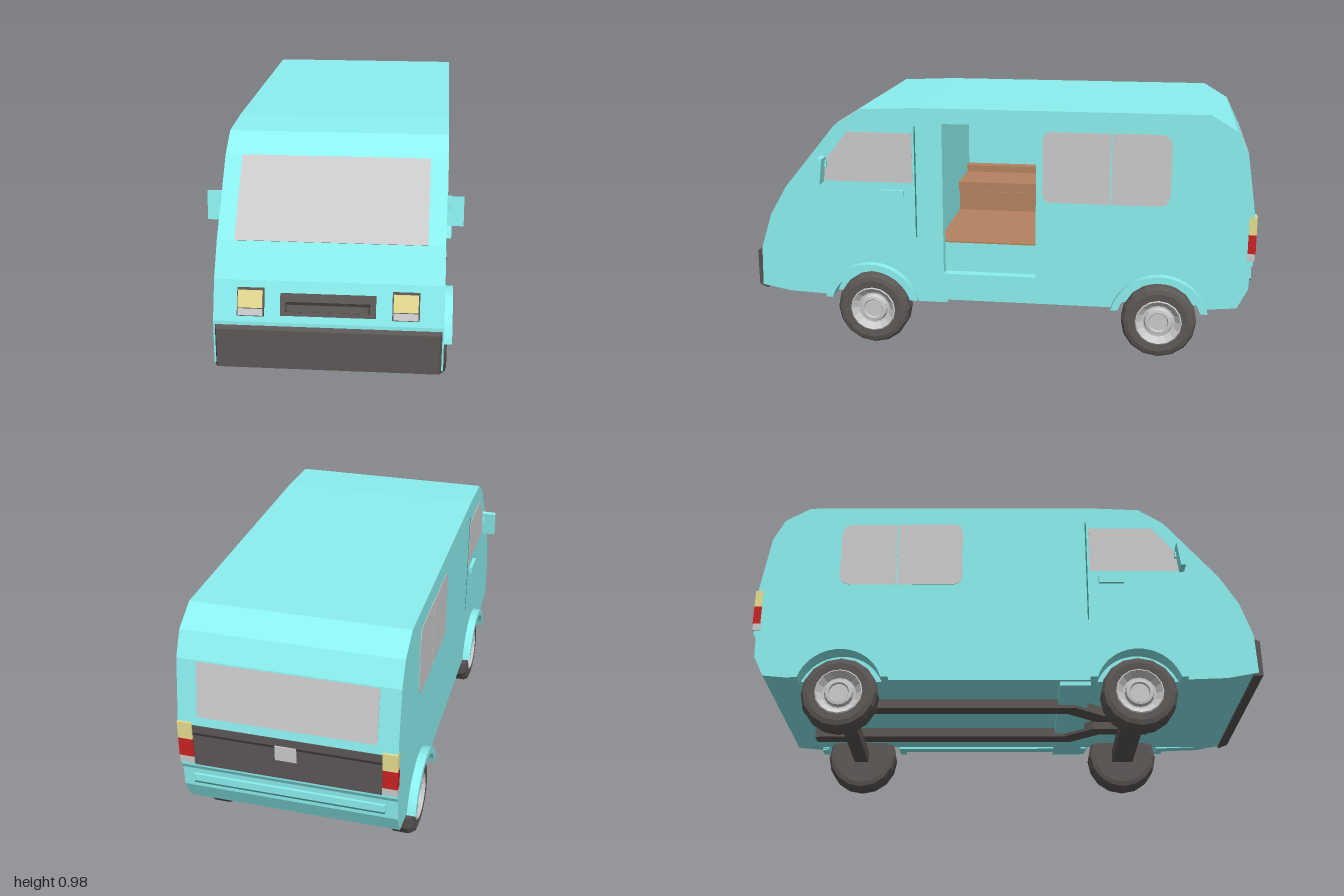
import * as THREE from 'three';

const mat = (color) => new THREE.MeshStandardMaterial({ color, flatShading: true });
const paint = mat(0x8cf0f0), dark = mat(0x5c5856), grey = mat(0xcccccc), seamMat = mat(0x3f7f7f);
const wood = mat(0xb5835f), yellow = mat(0xe8de90), red = mat(0xcc2222), black = mat(0x383634);

const WHEEL_Z = [0.515, -0.64], WHEEL_R = 0.148, HALF = 0.405, WALL = 0.04;

// body outline as [z, y], from the rear bottom over the roof to the nose
const upper = [[-0.83, 0.21], [-0.94, 0.22], [-0.98, 0.3], [-0.982, 0.38], [-0.993, 0.4], [-0.993, 0.58], [-0.955, 0.83],
  [-0.91, 0.92], [-0.81, 0.98], [0.33, 0.98], [0.55, 0.97], [0.65, 0.905], [0.86, 0.65], [0.93, 0.53], [0.975, 0.39], [0.98, 0.23], [0.86, 0.207]];

export function createModel() {
  const van = new THREE.Group();
  van.name = 'van';

  const add = (name, geo, material, x = 0, y = 0, z = 0) => {
    const m = new THREE.Mesh(geo, material);
    m.name = name;
    m.position.set(x, y, z);
    van.add(m);
    return m;
  };
  const box = (name, material, w, h, d, x, y, z) => add(name, new THREE.BoxGeometry(w, h, d), material, x, y, z);
  // slab lying along the line a-b of the side profile, points as [z, y]
  const slab = (name, material, a, b, w, t, x = 0) => {
    const dz = b[0] - a[0], dy = b[1] - a[1];
    const m = box(name, material, w, Math.hypot(dz, dy), t, x, (a[1] + b[1]) / 2, (a[0] + b[0]) / 2);
    m.rotation.x = Math.atan2(dz, dy);
    return m;
  };
  // side-profile shape extruded across x, outer face at xMax
  const across = (name, material, shape, depth, xMax) => {
    const geo = new THREE.ExtrudeGeometry(shape, { depth, bevelEnabled: false, curveSegments: 10 });
    geo.rotateY(-Math.PI / 2);
    return add(name, geo, material, xMax);
  };
  const poly = (pts) => new THREE.Shape(pts.map(([z, y]) => new THREE.Vector2(z, y)));
  const rect = (z0, z1, y0, y1) => poly([[z0, y0], [z1, y0], [z1, y1], [z0, y1]]);
  const roundRect = (z0, z1, y0, y1, rBack, rFront) => {
    const s = new THREE.Shape();
    s.moveTo(z0 + rBack, y0);
    s.lineTo(z1 - rFront, y0);
    s.quadraticCurveTo(z1, y0, z1, y0 + rFront);
    s.lineTo(z1, y1 - rFront);
    s.quadraticCurveTo(z1, y1, z1 - rFront, y1);
    s.lineTo(z0 + rBack, y1);
    s.quadraticCurveTo(z0, y1, z0, y1 - rBack);
    s.lineTo(z0, y0 + rBack);
    s.quadraticCurveTo(z0, y0, z0 + rBack, y0);
    return s;
  };

  // side walls with wheel arches; the left one has the door opening
  const wallShape = () => {
    const s = new THREE.Shape();
    const r = 0.168, a = Math.asin((0.2 - 0.15) / r);
    s.moveTo(0.86, 0.207);
    for (const wz of WHEEL_Z) {
      s.lineTo(wz + r * Math.cos(a), 0.2);
      s.absarc(wz, 0.15, r, a, Math.PI - a, false);
    }
    upper.slice(0, -1).forEach(([z, y]) => s.lineTo(z, y));
    return s;
  };
  const leftWall = wallShape();
  leftWall.holes.push(rect(-0.15, 0.22, 0.31, 0.92));
  across('leftWall', paint, leftWall, WALL, HALF);
  across('rightWall', paint, wallShape(), WALL, -HALF + WALL);

  // floor, cab, roof and tail between the walls, hollow in the rear cabin
  const core = poly(upper);
  core.holes.push(poly([[-0.93, 0.43], [0.25, 0.43], [0.25, 0.94], [-0.82, 0.94], [-0.9, 0.88]]));
  across('bodyShell', paint, core, 2 * (HALF - WALL), HALF - WALL);

  // cabin floor and benches
  box('cabinFloor', wood, 0.73, 0.006, 1.18, 0, 0.433, -0.34);
  box('sideBench', wood, 0.24, 0.09, 1.17, -0.24, 0.475, -0.335);
  box('sideBenchTop', wood, 0.26, 0.04, 1.17, -0.235, 0.545, -0.335);
  box('sideBenchBack', wood, 0.05, 0.07, 1.17, -0.335, 0.56, -0.335);
  box('rearBench', wood, 0.3, 0.09, 0.3, 0.02, 0.475, -0.55);
  box('rearBenchBack', wood, 0.3, 0.16, 0.08, 0.02, 0.51, -0.66);

  for (const s of [-1, 1]) {
    const side = s > 0 ? 'left' : 'right';
    const skin = (name, material, shape, t) => across(side + name, material, shape, t + 0.01, s > 0 ? HALF + t : -HALF + 0.01);

    // side windows
    skin('CabWindow', grey, poly([[0.7, 0.68], [0.34, 0.68], [0.34, 0.88], [0.6, 0.88], [0.7, 0.755]]), 0.002);
    skin('RearWindowFront', grey, roundRect(-0.438, -0.175, 0.62, 0.9, 0.002, 0.04), 0.002);
    skin('RearWindowBack', grey, roundRect(-0.67, -0.443, 0.62, 0.9, 0.05, 0.002), 0.002);
    skin('DoorSeam', seamMat, rect(0.326, 0.331, 0.46, 0.91), 0.001);

    // door handle and mirror
    box(side + 'DoorHandle', paint, 0.02, 0.028, 0.1, s * (HALF + 0.004), 0.637, 0.425);
    const mirror = box(side + 'Mirror', paint, 0.06, 0.105, 0.02, s * 0.435, 0.728, 0.705);
    mirror.rotation.x = -0.12;
    box(side + 'MirrorArm', paint, 0.03, 0.025, 0.03, s * 0.405, 0.75, 0.7);

    for (const wz of WHEEL_Z) {
      const end = wz > 0 ? 'Front' : 'Rear';
      // wheel arch flare
      const flare = new THREE.Shape();
      const ro = 0.195, ri = 0.168, ao = Math.asin(0.05 / ro), ai = Math.asin(0.05 / ri);
      flare.absarc(wz, 0.15, ro, ao, Math.PI - ao, false);
      flare.absarc(wz, 0.15, ri, Math.PI - ai, ai, true);
      across(side + end + 'Flare', paint, flare, 0.06, s > 0 ? 0.438 : -0.378);

      // wheel
      const wheel = new THREE.Group();
      wheel.name = side + end + 'Wheel';
      const turned = (name, pts, material) => {
        const geo = new THREE.LatheGeometry(pts.map(([r, y]) => new THREE.Vector2(r, y)), 16);
        const m = new THREE.Mesh(geo, material);
        m.name = name;
        wheel.add(m);
      };
      turned('tyre', [[0, -0.05], [0.12, -0.0525], [0.138, -0.047], [WHEEL_R, -0.03], [WHEEL_R, 0.03],
        [0.138, 0.047], [0.12, 0.0525], [0.092, 0.05], [0.088, 0.025]], dark);
      turned('rim', [[0.094, 0.049], [0.088, 0.053], [0.08, 0.045], [0.065, 0.03], [0.058, 0.03],
        [0.052, 0.045], [0.04, 0.047], [0.036, 0.04], [0, 0.04]], grey);
      wheel.rotation.z = -s * Math.PI / 2;
      wheel.position.set(s * 0.367, WHEEL_R, wz);
      van.add(wheel);
    }

    // headlight with dark frame and lower grey lamp
    slab(side + 'HeadlightFrame', dark, [0.969, 0.41], [0.938, 0.505], 0.095, 0.022, s * 0.272);
    slab(side + 'Headlight', yellow, [0.969, 0.442], [0.949, 0.5], 0.086, 0.028, s * 0.272);
    slab(side + 'IndicatorLamp', grey, [0.976, 0.416], [0.969, 0.438], 0.086, 0.024, s * 0.272);

    // tail lights
    box(side + 'TailLampTop', yellow, 0.055, 0.07, 0.03, s * 0.379, 0.555, -0.985);
    box(side + 'TailLampRed', red, 0.055, 0.075, 0.03, s * 0.379, 0.482, -0.985);
    box(side + 'TailLampBase', grey, 0.055, 0.03, 0.03, s * 0.379, 0.43, -0.983);

    // chassis rail: narrow at the front, kicking outward behind the front axle
    const plan = new THREE.Shape([[0.04, 0.6], [0.04, 0.37], [0.13, 0.25], [0.13, -0.82], [0.195, -0.82], [0.195, 0.28], [0.105, 0.4], [0.105, 0.6]]
      .map(([x, z]) => new THREE.Vector2(s * x, z)));
    const rail = new THREE.ExtrudeGeometry(plan, { depth: 0.04, bevelEnabled: false });
    rail.rotateX(Math.PI / 2);
    add(side + 'ChassisRail', rail, dark, 0, 0.21, 0);
  }

  // windscreen and rear window
  slab('windscreen', grey, [0.86, 0.65], [0.65, 0.905], 0.685, 0.006);
  slab('rearWindow', grey, [-0.988, 0.615], [-0.956, 0.825], 0.66, 0.006);

  // grille
  slab('grille', dark, [0.968, 0.415], [0.944, 0.49], 0.335, 0.02);
  slab('grilleSlot', black, [0.971, 0.432], [0.96, 0.464], 0.295, 0.022);
  slab('grilleBar', dark, [0.973, 0.434], [0.966, 0.457], 0.285, 0.024);

  // front bumper with a bevelled face
  const bumper = new THREE.BoxGeometry(2 * HALF, 0.165, 0.04);
  const p = bumper.attributes.position;
  for (let i = 0; i < p.count; i++) if (p.getZ(i) > 0) p.setXY(i, p.getX(i) * 0.965, p.getY(i) * 0.88);
  bumper.computeVertexNormals();
  add('frontBumper', bumper, dark, 0, 0.298, 0.98);

  // tailgate panel, plate and rear bumper strip
  box('tailgatePanel', dark, 0.7, 0.17, 0.012, 0, 0.495, -0.99);
  box('tailgateGroove', black, 0.7, 0.008, 0.014, 0, 0.545, -0.991);
  box('blankPlate', grey, 0.08, 0.06, 0.016, 0, 0.52, -0.992);
  box('rearBumperStrip', paint, 0.72, 0.03, 0.02, 0, 0.345, -0.982);
  box('rearBumperGroove', seamMat, 0.72, 0.006, 0.022, 0, 0.328, -0.982);

  // axles and underbody step
  const beam = new THREE.Shape([[-0.32, 0.12], [0.32, 0.12], [0.295, 0.17], [-0.295, 0.17]].map(([x, y]) => new THREE.Vector2(x, y)));
  add('frontAxle', new THREE.ExtrudeGeometry(beam, { depth: 0.09, bevelEnabled: false }), dark, 0, 0, 0.47);
  box('rearAxle', dark, 0.64, 0.05, 0.06, 0, 0.145, -0.64);
  box('underbodyStep', paint, 0.78, 0.025, 0.12, 0, 0.195, 0.27);

  return van;
}
